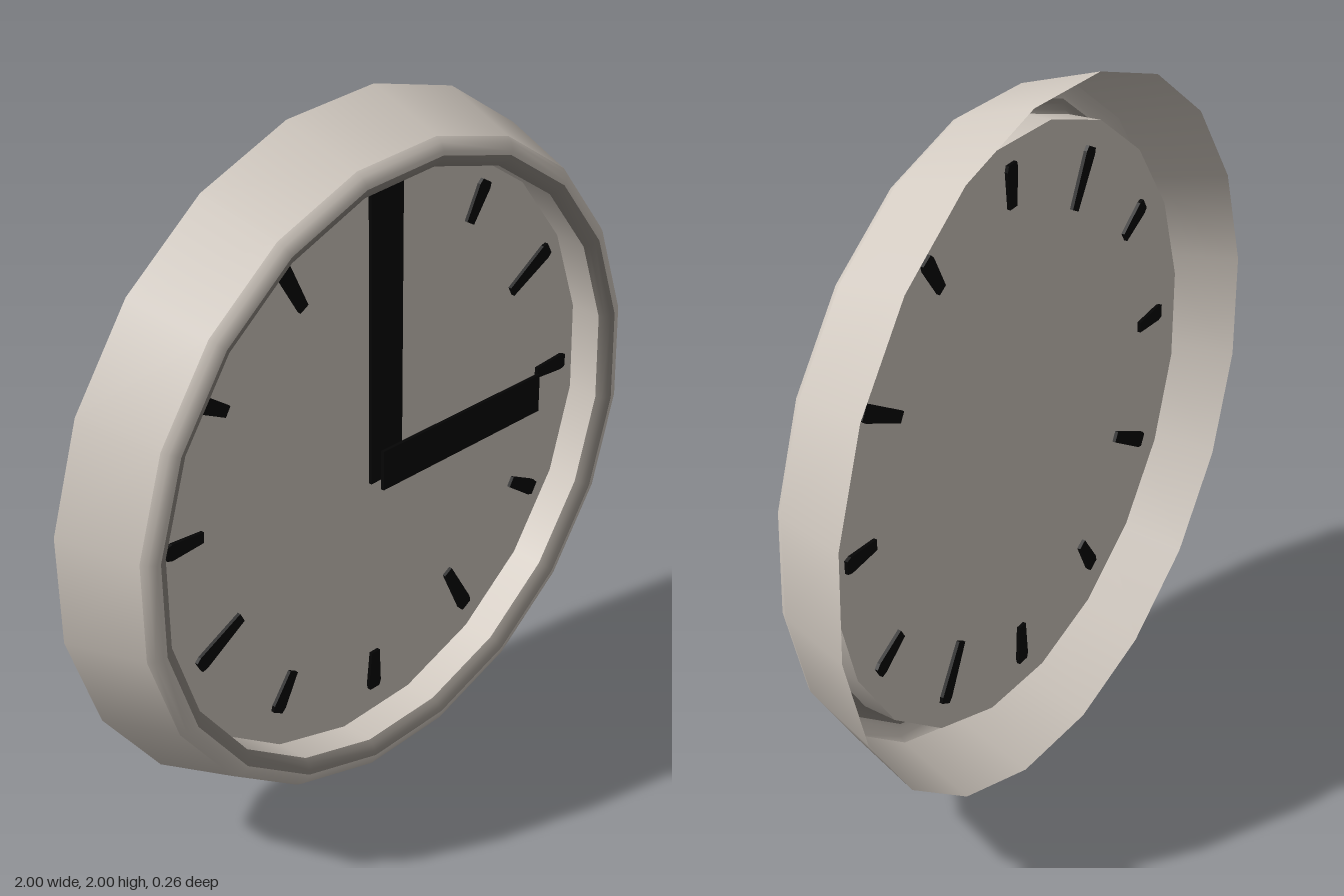
import * as THREE from 'three';

const SIDES = 20;
const TURN = THREE.MathUtils.degToRad(10);

export function createModel() {
  const clock = new THREE.Group();
  clock.name = 'wallClock';

  const material = (name, color, side = THREE.FrontSide) => {
    const m = new THREE.MeshStandardMaterial({ color, side });
    m.name = name;
    return m;
  };
  const stone = material('warm grey', 0xd2cac1, THREE.DoubleSide);
  const shade = material('dark grey', 0x8f8982, THREE.DoubleSide);
  const black = material('black', 0x050505);

  const add = (name, geometry, mat, parent = clock) => {
    const mesh = new THREE.Mesh(geometry, mat);
    mesh.name = name;
    parent.add(mesh);
    return mesh;
  };

  // Rings are turned about the z axis from [radius, z] points
  const ring = (name, points, mat) => {
    const profile = points.map(([r, z]) => new THREE.Vector2(r, z));
    const mesh = add(name, new THREE.LatheGeometry(profile, SIDES, TURN).rotateX(Math.PI / 2), mat);
    mesh.position.y = 1;
  };

  // Rim: open-backed tapering shell, rounded lip, dark bead and inner wall
  ring('rimShell', [[1.01, -0.13], [0.934, 0.1]], stone);
  ring('rimLip', [[0.934, 0.1], [0.922, 0.117], [0.902, 0.129], [0.89, 0.129]], stone);
  ring('rimBead', [[0.89, 0.129], [0.878, 0.124], [0.862, 0.115], [0.853, 0.1]], shade);
  ring('innerWall', [[0.853, 0.1], [0.858, 0]], stone);

  // Face: a thin disc, seen from both sides
  const face = add('face', new THREE.CircleGeometry(0.858, SIDES, TURN), stone);
  face.position.y = 1;

  // Hour marks: tapered bars through the face, turned a little off true; every third is long
  const marks = new THREE.Group();
  marks.name = 'hourMarks';
  marks.position.set(0.024, 1.013, -0.01);
  marks.rotation.z = THREE.MathUtils.degToRad(-1.9);
  clock.add(marks);
  for (let i = 0; i < 12; i++) {
    const inner = i % 3 === 1 ? 0.605 : 0.658;
    const shape = new THREE.Shape([
      [inner, -0.016], [0.765, -0.024], [0.782, -0.019],
      [0.782, 0.019], [0.765, 0.024], [inner, 0.016],
    ].map(([x, y]) => new THREE.Vector2(x, y)));
    const mark = add('hourMark', new THREE.ExtrudeGeometry(shape, { depth: 0.02, bevelEnabled: false }), black, marks);
    mark.rotation.z = (i * Math.PI) / 6;
  }

  // Hands: flat bars in front of the face, the hour hand above the minute hand
  const hand = (name, z, corners) => {
    const shape = new THREE.Shape(corners.map(([x, y]) => new THREE.Vector2(x, y)));
    const mesh = add(name, new THREE.ExtrudeGeometry(shape, { depth: 0.01, bevelEnabled: false }), black);
    mesh.position.z = z;
  };
  hand('minuteHand', 0.03, [[-0.047, 0.947], [0.073, 0.947], [0.073, 1.813], [-0.047, 1.813]]);
  hand('hourHand', 0.075, [[-0.047, 0.947], [0.6, 0.929], [0.6, 1.047], [-0.047, 1.067]]);

  return clock;
}
